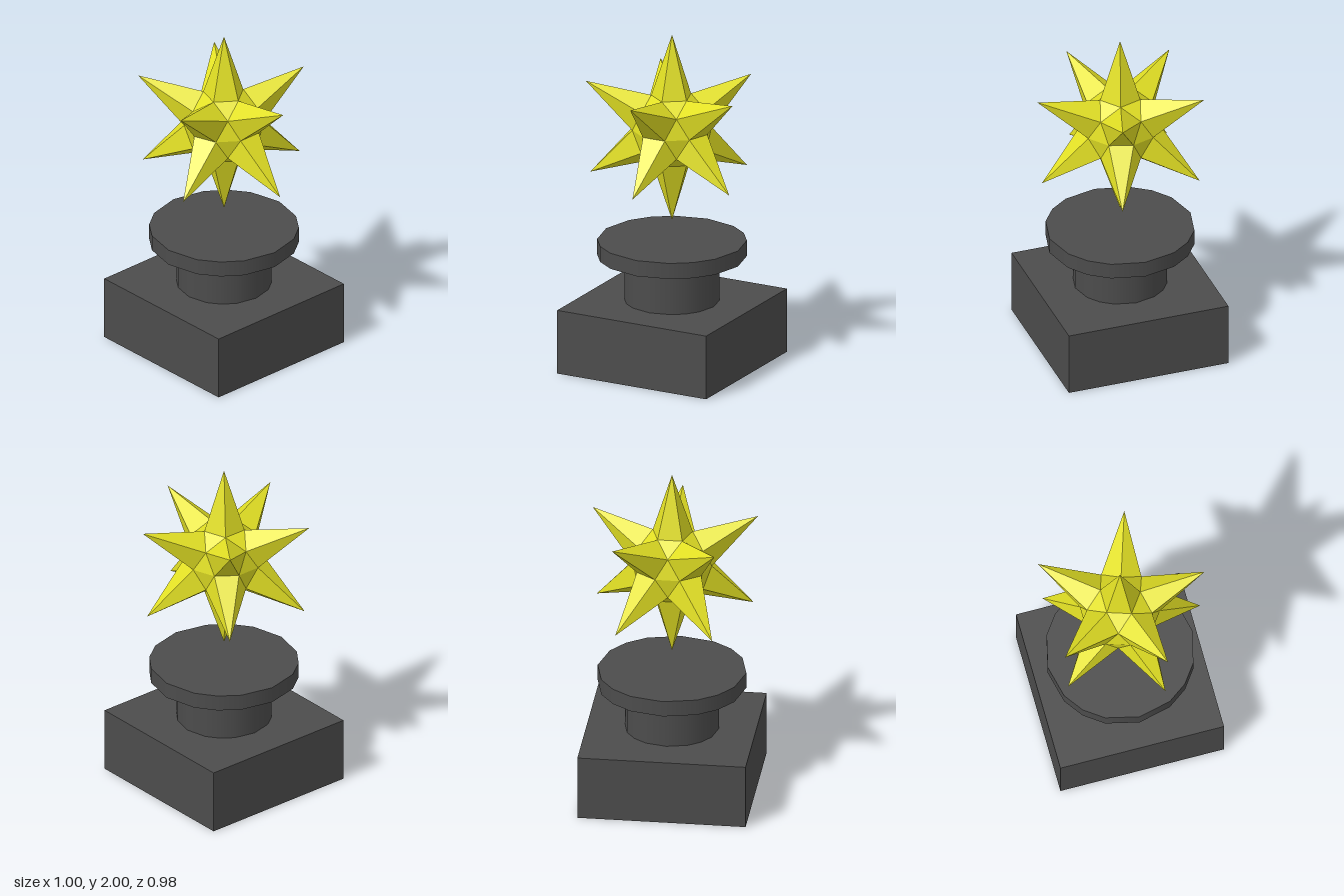
import * as THREE from 'three';

const rad = THREE.MathUtils.degToRad;

// Point at a polar angle (degrees, from +x towards +z), radius and height
const polar = (deg, r, y) => new THREE.Vector3(r * Math.cos(rad(deg)), y, r * Math.sin(rad(deg)));

// Flat-faced mesh from a list of [a, b, c] corner triples
function facetMesh(name, triangles, material, flip) {
  const points = triangles.flatMap(([a, b, c]) => (flip ? [a, c, b] : [a, b, c]));
  const geometry = new THREE.BufferGeometry().setFromPoints(points);
  geometry.computeVertexNormals();
  const mesh = new THREE.Mesh(geometry, material);
  mesh.name = name;
  return mesh;
}

// Pyramid of facets from a base loop to a tip
const fan = (tip, loop) => loop.map((p, i) => [tip, p, loop[(i + 1) % loop.length]]);

// Sixteen-sided drum, its corners spaced like a square grid pushed out to a circle
function drum(name, radius, y0, y1, material) {
  const geometry = new THREE.CylinderGeometry(radius, radius, y1 - y0, 16);
  const pos = geometry.attributes.position;
  const nor = geometry.attributes.normal;
  const steps = [0, 26.57, 45, 63.43];
  for (let i = 0; i < pos.count; i++) {
    const x = pos.getX(i), z = pos.getZ(i);
    if (Math.hypot(x, z) < 1e-4) continue;
    const n = (Math.round(Math.atan2(z, x) / (Math.PI / 8)) + 16) % 16;
    const a = rad(Math.floor(n / 4) * 90 + steps[n % 4]);
    pos.setXYZ(i, radius * Math.cos(a), pos.getY(i), radius * Math.sin(a));
    if (Math.abs(nor.getY(i)) < 0.5) nor.setXYZ(i, Math.cos(a), 0, Math.sin(a));
  }
  const mesh = new THREE.Mesh(geometry, material);
  mesh.name = name;
  mesh.position.y = (y0 + y1) / 2;
  return mesh;
}

// Half of the spiked star; side is 1 for the upper half, -1 for the lower
function starHalf(side, poleLength, ringRadius, ringHeight, material) {
  const half = new THREE.Group();
  half.name = side > 0 ? 'upperStar' : 'lowerStar';
  const flip = side < 0;
  const cap = (deg) => polar(deg, 0.122, 0.198 * side);
  const shoulder = (deg) => polar(deg, 0.198, 0.122 * side);
  const waist = (deg) => polar(deg, 0.232, 0);
  const angles = [0, 72, 144, 216, 288];

  // Spike along the vertical axis
  const poleTip = new THREE.Vector3(0, poleLength * side, 0);
  half.add(facetMesh('poleSpike', fan(poleTip, angles.map((a) => cap(-a))), material, flip));

  // Ring of slanted spikes, each on a pentagonal foot
  const gaps = [];
  for (const a of angles) {
    const foot = [cap(a), shoulder(a + 36), waist(a + 18), waist(a - 18), shoulder(a - 36)];
    half.add(facetMesh('ringSpike', fan(polar(a, ringRadius, ringHeight * side), foot), material, flip));
    gaps.push([cap(a), cap(a + 72), shoulder(a + 36)]);
    gaps.push([shoulder(a + 36), waist(a + 54), waist(a + 18)]);
  }

  // Core facets left between the spikes
  half.add(facetMesh('coreFacets', gaps, material, flip));
  return half;
}

export function createModel() {
  const model = new THREE.Group();
  model.name = 'starOnPedestal';

  const stone = new THREE.MeshStandardMaterial({ color: 0x4c4c4c });
  stone.name = 'dark grey stone';
  const yellow = new THREE.MeshStandardMaterial({ color: 0xe2e024 });
  yellow.name = 'star yellow';

  // Pedestal: square plinth, round neck and wide top plate
  const pedestal = new THREE.Group();
  pedestal.name = 'pedestal';
  const plinth = new THREE.Mesh(new THREE.BoxGeometry(0.98, 0.385, 0.98), stone);
  plinth.name = 'plinth';
  plinth.position.y = 0.1925;
  pedestal.add(
    plinth,
    drum('neck', 0.275, 0.385, 0.655, stone),
    drum('topPlate', 0.433, 0.655, 0.75, stone),
  );

  // Floating star
  const star = new THREE.Group();
  star.name = 'star';
  star.position.y = 1.427;
  star.add(
    starHalf(1, 0.573, 0.507, 0.261, yellow),
    starHalf(-1, 0.556, 0.48, 0.291, yellow),
  );

  pedestal.position.x = star.position.x = -0.012;
  model.add(pedestal, star);
  return model;
}
